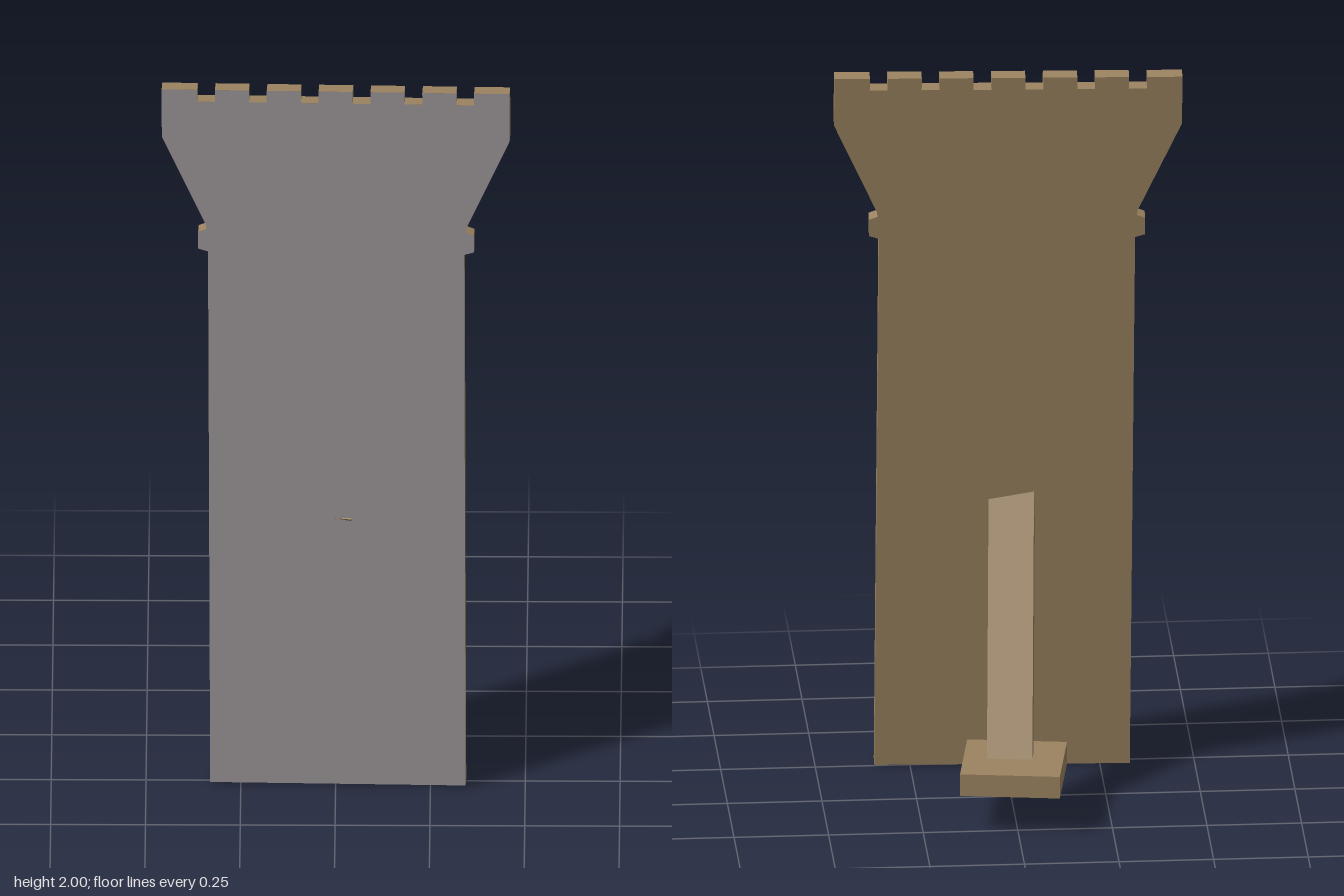
import * as THREE from 'three';

const THICK = 0.045;

// Tower outline: shaft, narrow band, flared head and crenellated top
function towerShape() {
  const right = [
    [0.337, 0], [0.338, 1.532], [0.364, 1.54], [0.364, 1.588],
    [0.342, 1.596], [0.344, 1.61], [0.459, 1.862], [0.459, 1.998],
  ];
  const top = [];
  for (let i = 0; i < 6; i++) {
    const x = 0.342 - i * 0.1368, w = 0.0235;
    top.push([x + w, 1.998], [x + w, 1.964], [x - w, 1.964], [x - w, 1.998]);
  }
  const left = right.map(([x, y]) => [-x, y]).reverse();
  return new THREE.Shape([...right, ...top, ...left].map(([x, y]) => new THREE.Vector2(x, y)));
}

export function createModel() {
  const wood = new THREE.MeshStandardMaterial({ color: 0x9c8360 });
  wood.name = 'wood';
  const grey = new THREE.MeshStandardMaterial({ color: 0x969192 });
  grey.name = 'stone grey';

  const model = new THREE.Group();
  model.name = 'towerStandee';
  const add = (parent, name, geometry, material) => {
    const mesh = new THREE.Mesh(geometry, material);
    mesh.name = name;
    parent.add(mesh);
    return mesh;
  };

  // Leaning cut-out panel with a painted front
  const panel = new THREE.Group();
  panel.name = 'towerPanel';
  const shape = towerShape();
  const board = new THREE.ExtrudeGeometry(shape, { depth: THICK - 0.001, bevelEnabled: false });
  board.translate(0, 0, -THICK);
  add(panel, 'board', board, wood);
  add(panel, 'paintedFront', new THREE.ShapeGeometry(shape), grey);
  panel.rotation.set(-0.072, -0.035, 0.006, 'YXZ');
  panel.position.set(0.006, 0.006, 0.278);
  model.add(panel);

  // Slanted brace from the foot to the back of the panel
  const low = new THREE.Vector3(0.014, 0.107, -0.158);
  const high = new THREE.Vector3(-0.016, 0.782, 0.201);
  const axis = high.clone().sub(low);
  const length = axis.length();
  axis.normalize();
  const side = new THREE.Vector3(1, 0, 0.14);
  side.addScaledVector(axis, -side.dot(axis)).normalize();
  const brace = add(model, 'brace', new THREE.BoxGeometry(0.12, length, THICK), wood);
  brace.quaternion.setFromRotationMatrix(
    new THREE.Matrix4().makeBasis(side, axis, side.clone().cross(axis)));
  brace.position.copy(low).add(high).multiplyScalar(0.5);

  // Square foot plate
  const foot = add(model, 'foot', new THREE.BoxGeometry(0.264, 0.061, 0.258), wood);
  foot.rotation.y = -0.144;
  foot.position.set(0.004, 0.134, -0.146);

  return model;
}
